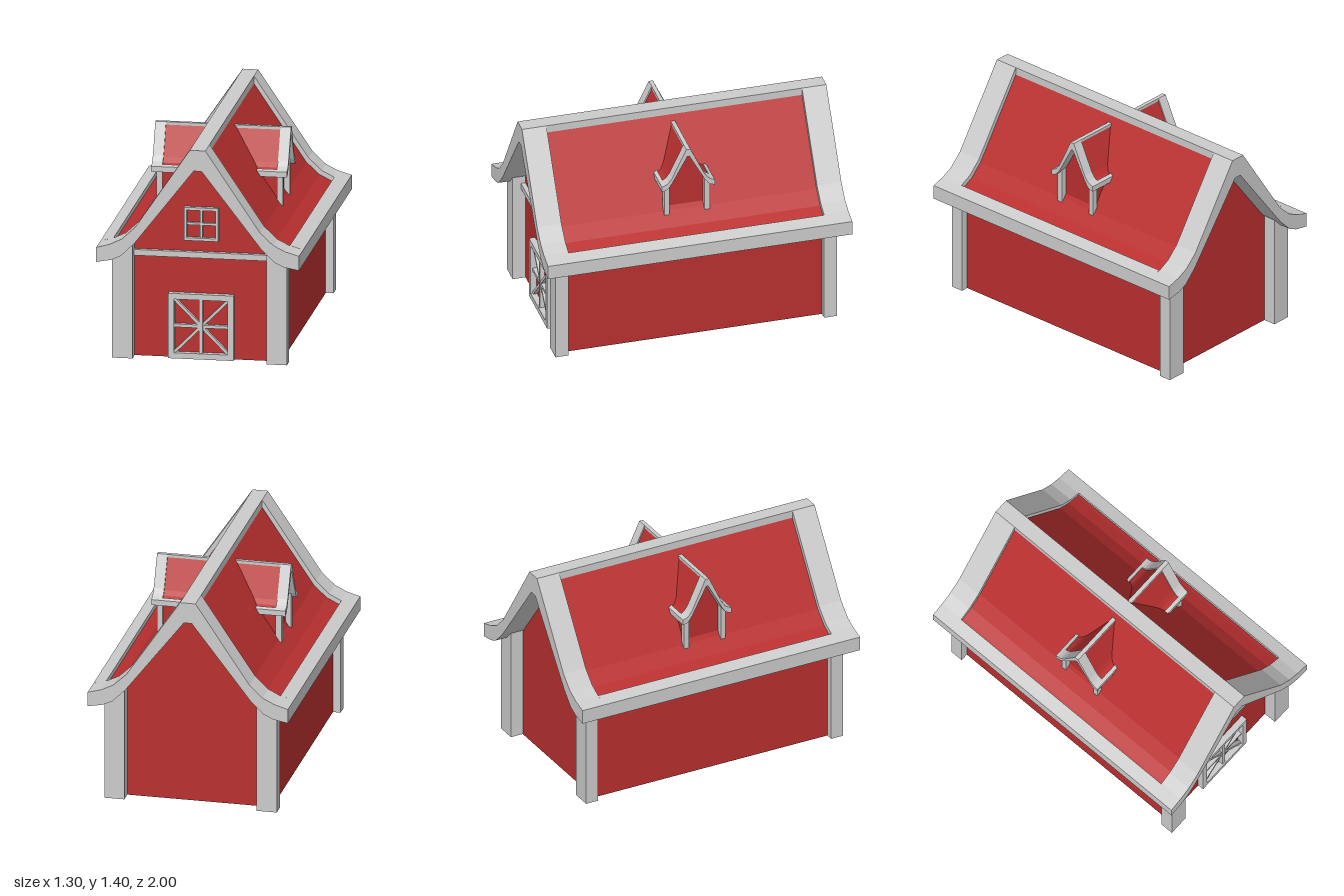
import * as THREE from 'three';

const grey = new THREE.MeshStandardMaterial({ color: 0xcccccc });
const red = new THREE.MeshStandardMaterial({ color: 0xb92f2f });

// Half cross-section of the flared roof, ridge to eave
const OUTER = [[0.05, 1.4], [0.4, 0.88], [0.485, 0.8], [0.56, 0.763], [0.65, 0.737]];
const INNER = [[0.65, 0.643], [0.555, 0.66], [0.49, 0.69], [0.405, 0.775], [0.025, 1.265]];
const PANEL = [[0.04, 1.365], [0.05, 1.35], [0.385, 0.852], [0.468, 0.775], [0.545, 0.737], [0.57, 0.729],
  [0.51, 0.705], [0.405, 0.785], [0.025, 1.27]];
const EAVE = [[0.565, 0.762], [0.65, 0.737], [0.65, 0.643], [0.555, 0.66], [0.49, 0.69], [0.5, 0.715], [0.565, 0.72]];
const POST = [[0.43, 0], [0.56, 0], [0.56, 0.68], [0.49, 0.72], [0.43, 0.78]];
const WALL = [[0.51, 0], [0.51, 0.69], [0.405, 0.785], [0.025, 1.275]];
const RIDGE = [[0.05, 1.4], [0.05, 1.33], [0.025, 1.265]];

const flip = (pts) => pts.map(([x, y]) => [-x, y]).reverse();
const whole = (pts) => [...pts, ...flip(pts)];

function prism(parent, name, pts, z0, z1, material) {
  const shape = new THREE.Shape(pts.map(([x, y]) => new THREE.Vector2(x, y)));
  const geo = new THREE.ExtrudeGeometry(shape, { depth: z1 - z0, bevelEnabled: false });
  geo.translate(0, 0, z0);
  const mesh = new THREE.Mesh(geo, material);
  mesh.name = name;
  parent.add(mesh);
}

function bar(parent, name, x, y, z, w, h, d, angle = 0) {
  const mesh = new THREE.Mesh(new THREE.BoxGeometry(w, h, d), grey);
  mesh.position.set(x, y, z);
  mesh.rotation.z = angle;
  mesh.name = name;
  parent.add(mesh);
}

// Gabled block: walls and inset panels between z0 and z1, trim and posts in the given z ranges
function gable(name, map, z0, z1, trims, posts) {
  const g = new THREE.Group();
  g.name = name;
  const m = (pts) => pts.map(([x, y]) => map(x, y));
  prism(g, 'walls', m(whole(WALL)), z0, z1, red);
  prism(g, 'ridgeBeam', m(whole(RIDGE)), z0, z1, grey);
  for (const side of [(p) => p, flip]) {
    prism(g, 'roofPanel', m(side(PANEL)), z0, z1, red);
    prism(g, 'eave', m(side(EAVE)), z0, z1, grey);
    for (const [a, b] of posts) prism(g, 'cornerPost', m(side(POST)), a, b, grey);
  }
  for (const [a, b] of trims) prism(g, 'gableTrim', m(whole([...OUTER, ...INNER])), a, b, grey);
  return g;
}

// Rectangular frame with a central cross
function framed(name, halfW, y0, y1, edge, cross, depth, z) {
  const g = new THREE.Group();
  g.name = name;
  const cy = (y0 + y1) / 2, h = y1 - y0;
  for (const s of [-1, 1]) {
    bar(g, 'frameSide', s * (halfW - edge / 2), cy, z + depth / 2, edge, h, depth);
    bar(g, 'frameRail', 0, cy + s * (h / 2 - edge / 2), z + depth / 2, 2 * (halfW - edge), edge, depth);
  }
  bar(g, 'crossUpright', 0, cy, z + depth * 0.4, cross, h - 2 * edge, depth * 0.8);
  bar(g, 'crossRail', 0, cy, z + depth * 0.35, 2 * (halfW - edge), cross * 0.9, depth * 0.7);
  return g;
}

export function createModel() {
  const barn = new THREE.Group();
  barn.name = 'barn';
  const wallZ = 0.84;

  barn.add(gable('mainBuilding', (x, y) => [x, y], -wallZ, wallZ,
    [[wallZ, 1], [-1, -wallZ]], [[wallZ, 0.925], [-0.925, -wallZ]]));

  // Dormers: small gables turned to face each side
  for (const s of [-1, 1]) {
    const dormer = gable('dormer', (x, y) => [x * 0.267, (y - 0.64) * 0.38 + 1.025],
      0.05, 0.367, [[0.367, 0.435]], [[0.367, 0.405]]);
    dormer.rotation.y = s * Math.PI / 2;
    dormer.position.z = 0.016;
    barn.add(dormer);
  }

  // Front details
  bar(barn, 'frontBand', 0, 0.68, wallZ + 0.015, 0.87, 0.038, 0.03);
  barn.add(framed('loftWindow', 0.11, 0.773, 0.99, 0.018, 0.016, 0.03, wallZ));

  const door = framed('barnDoor', 0.21, 0, 0.425, 0.037, 0.022, 0.04, wallZ);
  const dx = 0.173, dy = 0.175;
  for (const sx of [-1, 1]) for (const sy of [-1, 1]) {
    bar(door, 'doorBrace', sx * dx / 2, 0.2125 + sy * dy / 2, wallZ + 0.013,
      Math.hypot(dx, dy), 0.018, 0.026, Math.atan2(sy * dy, sx * dx));
  }
  barn.add(door);
  return barn;
}
